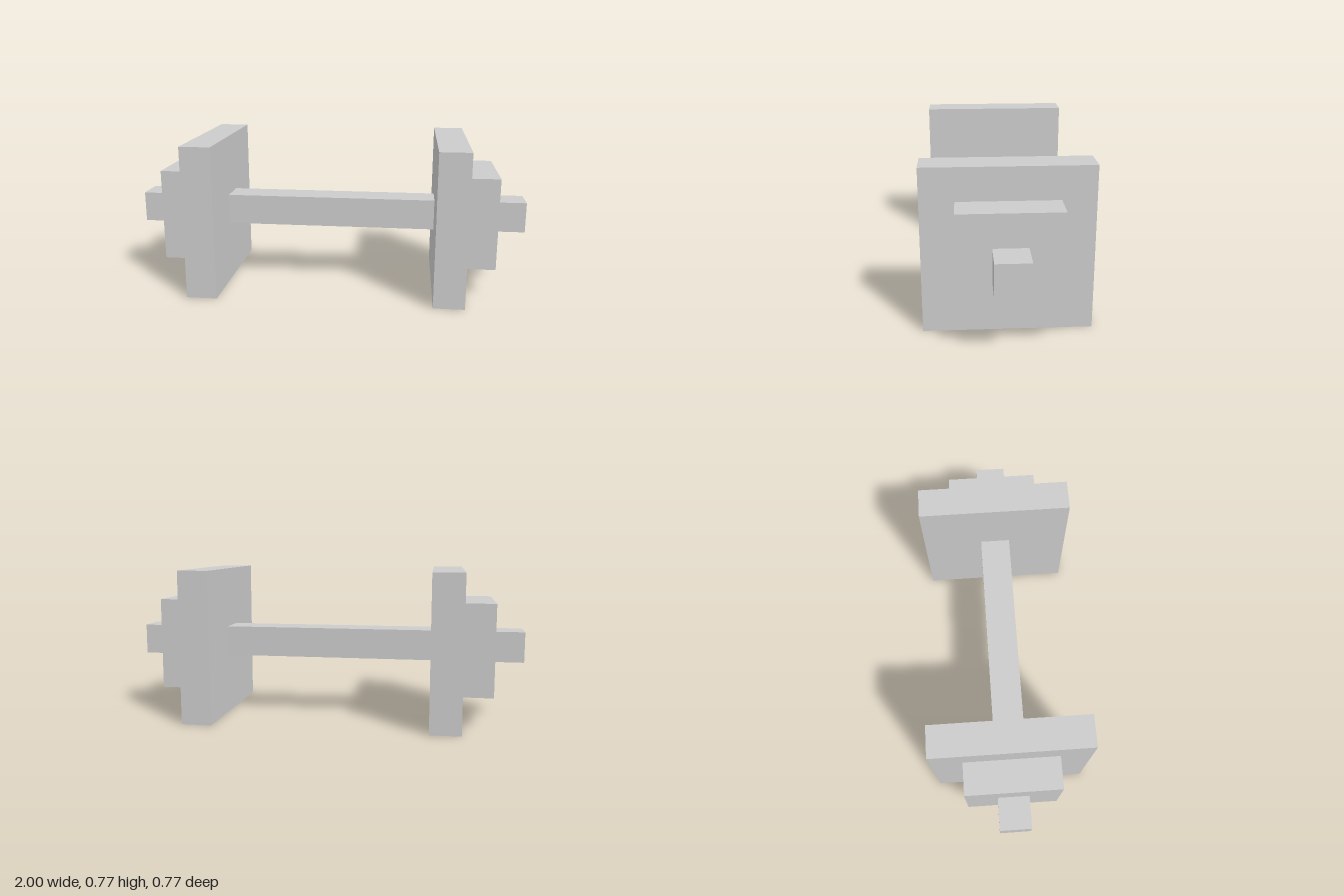
import * as THREE from 'three';

// The whole dumbbell sits on a grid of 26 units along its length
const U = 2 / 26;
const CENTRE_Y = 5 * U;

export function createModel() {
  const model = new THREE.Group();
  model.name = 'dumbbell';
  const material = new THREE.MeshStandardMaterial({ color: 0xcccccc, flatShading: true });

  // Block with a square section, lying along x
  const addBlock = (name, length, section, x) => {
    const mesh = new THREE.Mesh(new THREE.BoxGeometry(length * U, section * U, section * U), material);
    mesh.name = name;
    mesh.position.set(x * U, CENTRE_Y, 0);
    model.add(mesh);
  };

  // Bar running through all the plates
  addBlock('bar', 26, 2, 0);

  // Large inner plate and small outer plate at each end
  for (const [side, s] of [['left', 1], ['right', -1]]) {
    addBlock(`${side}InnerPlate`, 2, 10, s * 8);
    addBlock(`${side}OuterPlate`, 2, 6, s * 10);
  }
  return model;
}
